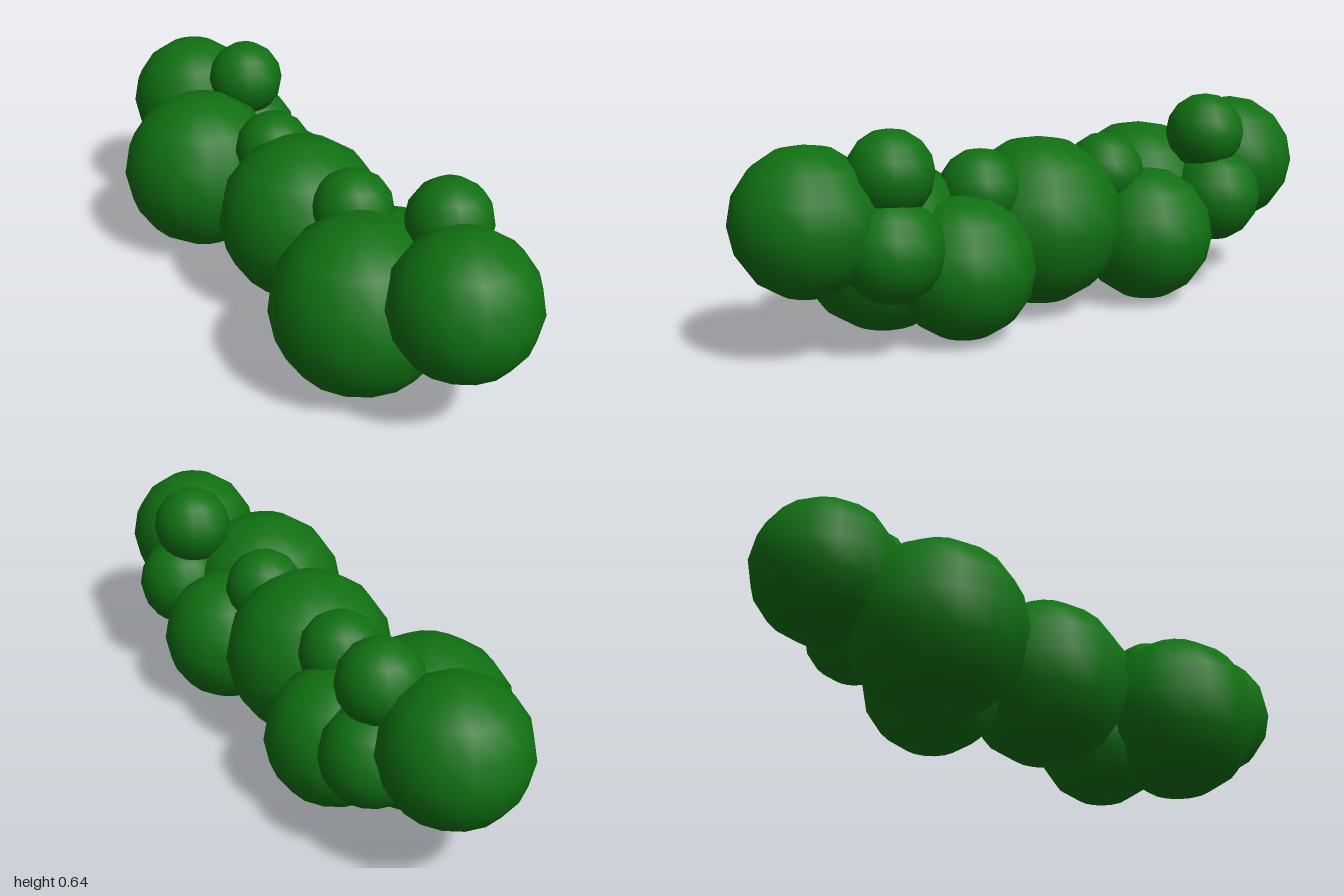
import * as THREE from 'three';

export function createModel() {
  const group = new THREE.Group();
  group.name = 'hedge';
  const leaves = new THREE.MeshStandardMaterial({ color: 0x107012 });

  // One rounded clump of foliage
  function clump(name, radius, x, y, z) {
    const mesh = new THREE.Mesh(new THREE.SphereGeometry(radius, 16, 8), leaves);
    mesh.name = name;
    mesh.position.set(x, y, z);
    group.add(mesh);
  }

  clump('middleClump', 0.262, 0.02, 0.286, 0);

  // Clumps repeated towards the front and the back
  for (const [end, s] of [['front', 1], ['back', -1]]) {
    clump(end + 'EndClump', 0.212, 0.041, 0.396, s * 0.788);
    clump(end + 'LargeClump', 0.264, -0.081, 0.27, s * 0.488);
    clump(end + 'LowSideClump', 0.212, 0.13, 0.215, s * 0.345);
    clump(end + 'HighSideClump', 0.148, 0.172, 0.314, s * 0.6);
    clump(end + 'TopClump', 0.125, 0.139, 0.52, s * 0.582);
    clump(end + 'InnerTopClump', 0.125, 0.052, 0.415, s * 0.235);
  }
  return group;
}
